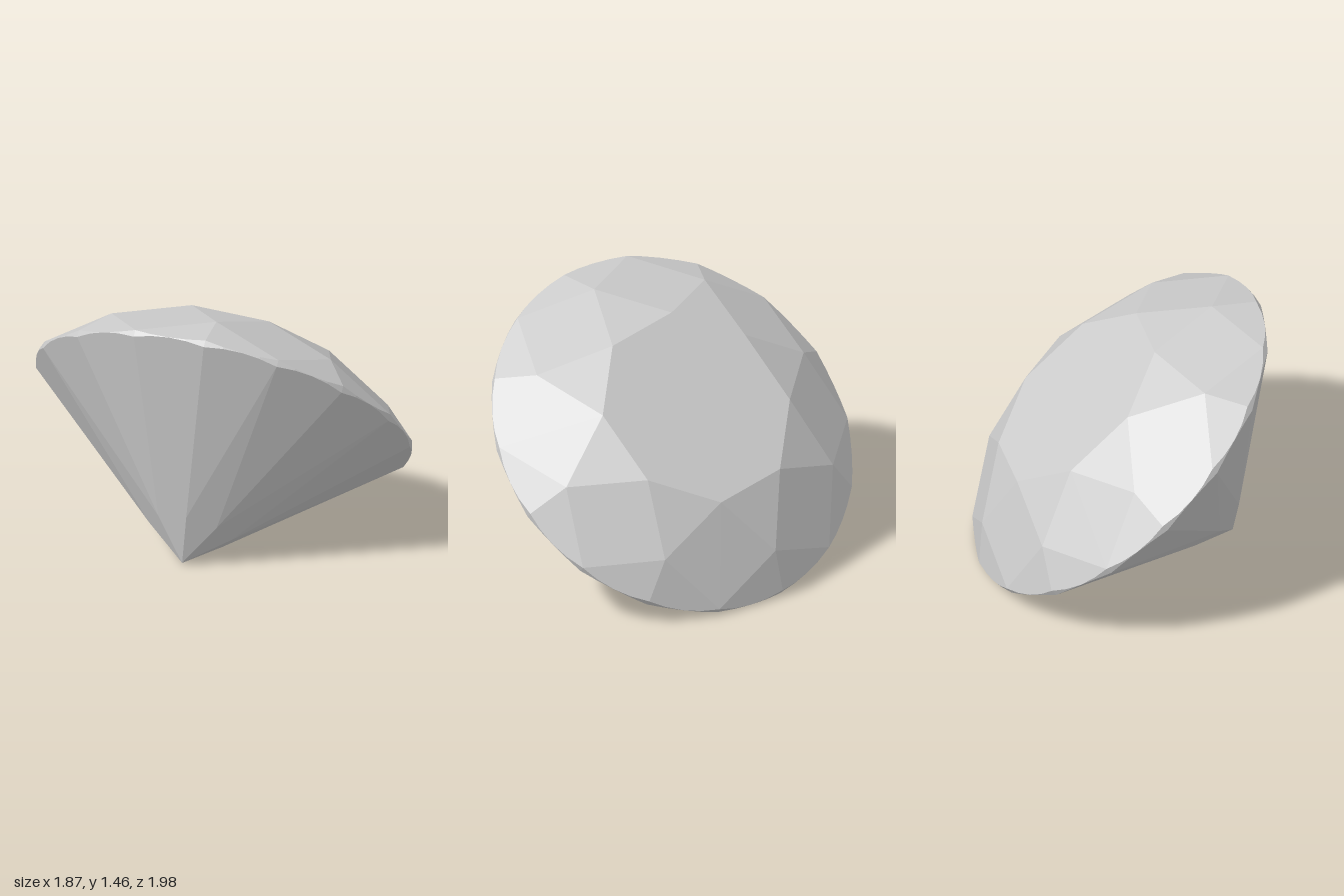
import * as THREE from 'three';

// Proportions of the stone, measured from the centre of the girdle
const GIRDLE_R = 1.085, GIRDLE_HALF = 0.02;
const TABLE_R = 0.583, TABLE_H = 0.368;
const STAR_R = 0.9, STAR_H = 0.195;
const CULET_H = -0.957, LOWER_R = 0.24;
const STEP = Math.PI / 8; // half of one eighth
const ARC = 4; // girdle segments per half facet

const polar = (r, angle, h) => new THREE.Vector3(r * Math.sin(angle), h, r * Math.cos(angle));

// Adds a flat convex facet as a fan, always facing away from the centre
function addFacet(out, points) {
  for (let i = 1; i < points.length - 1; i++) {
    const [a, b, c] = [points[0], points[i], points[i + 1]];
    const normal = b.clone().sub(a).cross(c.clone().sub(a));
    const outward = normal.dot(a.clone().add(b).add(c)) > 0;
    for (const p of outward ? [a, b, c] : [a, c, b]) out.push(p.x, p.y, p.z);
  }
}

// Scalloped edge where the plane of a half facet cuts the round girdle
function girdleArc(apex, from, to, h) {
  const plane = new THREE.Plane().setFromCoplanarPoints(
    apex, polar(GIRDLE_R, from, h), polar(GIRDLE_R, to, h));
  return Array.from({ length: ARC + 1 }, (_, i) => {
    const p = polar(GIRDLE_R, from + (to - from) * i / ARC, 0);
    p.y = -(plane.normal.x * p.x + plane.normal.z * p.z + plane.constant) / plane.normal.y;
    return p;
  });
}

function makeMesh(name, positions) {
  const geometry = new THREE.BufferGeometry();
  geometry.setAttribute('position', new THREE.Float32BufferAttribute(positions, 3));
  geometry.computeVertexNormals();
  const mesh = new THREE.Mesh(geometry,
    new THREE.MeshStandardMaterial({ color: 0xcccccc, flatShading: true }));
  mesh.name = name;
  return mesh;
}

export function createModel() {
  const table = [], crown = [], girdle = [], pavilion = [];
  const culet = new THREE.Vector3(0, CULET_H, 0);
  // Height of the lower side points that keeps the pavilion kites flat
  const lowerH = CULET_H + (-GIRDLE_HALF - CULET_H) / GIRDLE_R * LOWER_R * Math.cos(STEP);
  const corners = [];

  for (let k = 0; k < 8; k++) {
    const a = 2 * k * STEP;
    const corner = polar(TABLE_R, a, TABLE_H);
    const star = s => polar(STAR_R, a + s * STEP, STAR_H);
    const lower = s => polar(LOWER_R, a + s * STEP, lowerH);
    corners.push(corner);

    // Crown kite and star facet
    addFacet(crown, [corner, star(-1), polar(GIRDLE_R, a, GIRDLE_HALF), star(1)]);
    addFacet(crown, [corner, star(1), polar(TABLE_R, a + 2 * STEP, TABLE_H)]);
    // Long pavilion kite
    addFacet(pavilion, [culet, lower(-1), polar(GIRDLE_R, a, -GIRDLE_HALF), lower(1)]);

    // Half facets either side of the kites, with the girdle strip between
    for (const s of [-1, 1]) {
      const top = girdleArc(star(s), a, a + s * STEP, GIRDLE_HALF);
      const bottom = girdleArc(lower(s), a, a + s * STEP, -GIRDLE_HALF);
      addFacet(crown, [star(s), ...top]);
      addFacet(pavilion, [lower(s), ...bottom]);
      for (let i = 0; i < ARC; i++)
        addFacet(girdle, [top[i], top[i + 1], bottom[i + 1], bottom[i]]);
    }
  }
  addFacet(table, corners);

  // Lay the stone on its side, resting on the pavilion
  const gem = new THREE.Group();
  gem.name = 'gemstone';
  gem.add(makeMesh('table', table), makeMesh('crown', crown),
    makeMesh('girdle', girdle), makeMesh('pavilion', pavilion));
  const up = new THREE.Vector3(0.512, 0.749, -0.42).normalize();
  const side = new THREE.Vector3(-0.134, 0.561, 0.818).cross(up).negate().normalize();
  const front = side.clone().cross(up);
  gem.quaternion.setFromRotationMatrix(new THREE.Matrix4().makeBasis(side, up, front));

  // Centre it and set it on the ground
  const box = new THREE.Box3().setFromObject(gem, true);
  const mid = box.getCenter(new THREE.Vector3());
  gem.position.set(-mid.x, -box.min.y, -mid.z);

  const model = new THREE.Group();
  model.name = 'cutDiamond';
  model.add(gem);
  return model;
}
